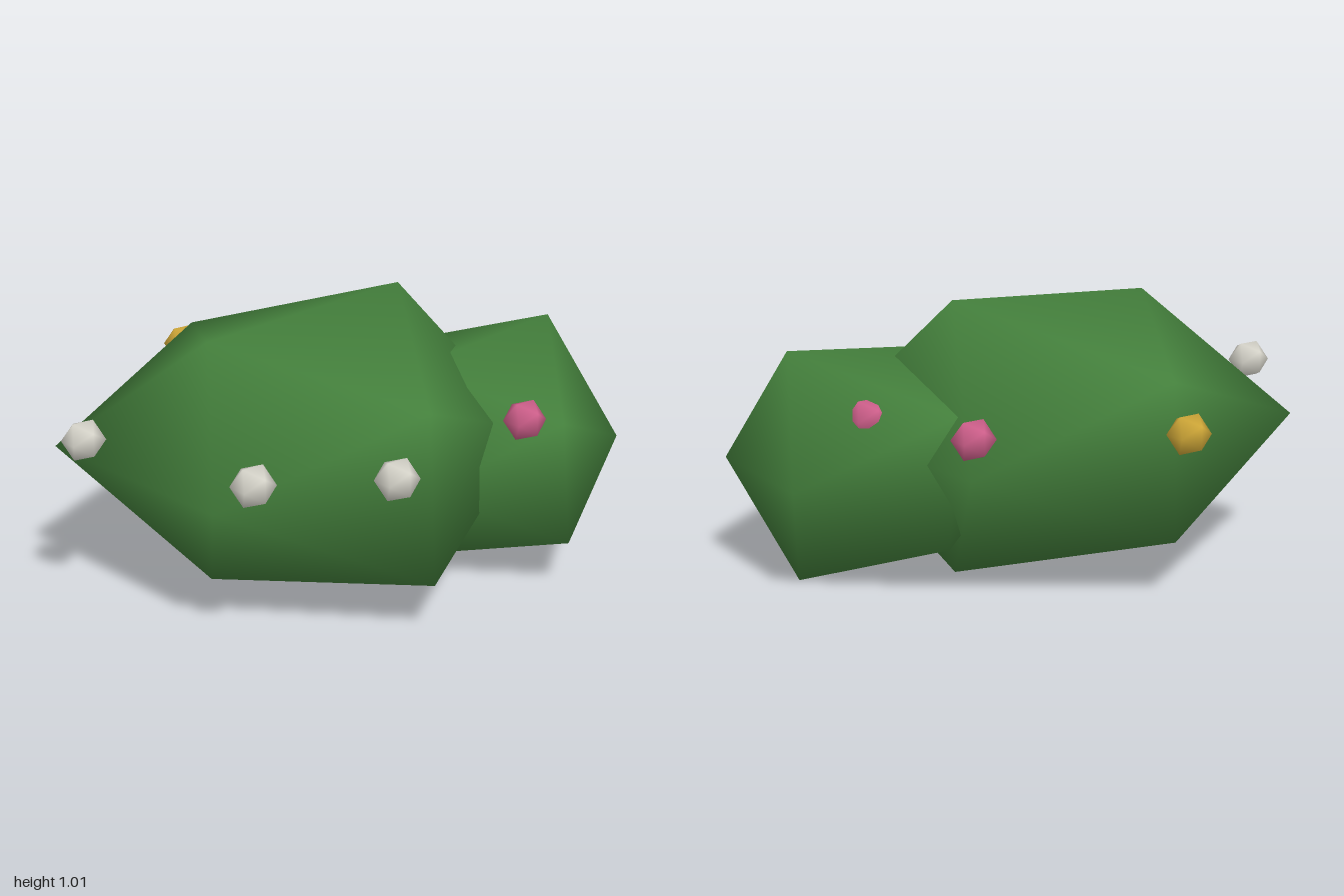
import * as THREE from 'three';
import { mergeVertices } from 'three/addons/utils/BufferGeometryUtils.js';

// Faces of an icosahedron; corner order matches the lists below
const FACES = [
  0, 11, 5, 0, 5, 1, 0, 1, 7, 0, 7, 10, 0, 10, 11,
  1, 5, 9, 5, 11, 4, 11, 10, 2, 10, 7, 6, 7, 1, 8,
  3, 9, 4, 3, 4, 2, 3, 2, 6, 3, 6, 8, 3, 8, 9,
  4, 9, 5, 2, 4, 11, 6, 2, 10, 8, 6, 7, 9, 8, 1,
];

// Uneven, smooth-shaded clump of leaves
function clump(name, corners, material) {
  const geometry = new THREE.BufferGeometry();
  geometry.setAttribute('position', new THREE.Float32BufferAttribute(corners.flat(), 3));
  geometry.setIndex(FACES);
  geometry.computeVertexNormals();
  const mesh = new THREE.Mesh(geometry, material);
  mesh.name = name;
  return mesh;
}

export function createModel() {
  const group = new THREE.Group();
  group.name = 'floweringBush';
  const paint = (color) => new THREE.MeshStandardMaterial({ color });
  const leaves = paint(0x44803c);

  group.add(clump('largeLeafClump', [
    [-0.52, 0.96, 0.02], [0.34, 1.02, 0.02], [-0.52, 0.07, 0.02], [0.34, 0.01, 0.02],
    [-0.12, 0.20, 0.77], [-0.12, 0.81, 0.73], [-0.12, 0.22, -0.67], [-0.12, 0.79, -0.65],
    [0.58, 0.51, -0.44], [0.62, 0.51, 0.46], [-0.86, 0.52, -0.45], [-0.79, 0.52, 0.42],
  ], leaves));

  group.add(clump('smallLeafClump', [
    [0.19, 0.79, 0.28], [0.86, 0.86, 0.28], [0.19, 0.06, 0.28], [0.84, 0.01, 0.28],
    [0.51, 0.19, 0.78], [0.51, 0.63, 0.73], [0.51, 0.19, -0.20], [0.50, 0.68, -0.25],
    [1.00, 0.43, 0.02], [0.97, 0.43, 0.56], [0.02, 0.43, 0.01], [0.03, 0.43, 0.55],
  ], leaves));

  // Blossoms ring the bush at one height
  let ball = new THREE.IcosahedronGeometry(0.077, 0);
  ball.deleteAttribute('normal');
  ball.deleteAttribute('uv');
  ball = mergeVertices(ball);
  ball.computeVertexNormals();

  const blossoms = {
    whiteBlossom: [0xd8d6cc, [[-0.935, -0.13], [-0.73, 0.565], [-0.33, 0.81]]],
    yellowBlossom: [0xd0a838, [[-0.05, -0.81]]],
    pinkBlossom: [0xd0608c, [[0.57, -0.44], [0.385, 0.66], [0.705, 0]]],
  };
  for (const [name, [color, spots]] of Object.entries(blossoms)) {
    const material = paint(color);
    for (const [x, z] of spots) {
      const blossom = new THREE.Mesh(ball, material);
      blossom.name = name;
      blossom.position.set(x, 0.655, z);
      group.add(blossom);
    }
  }
  return group;
}
